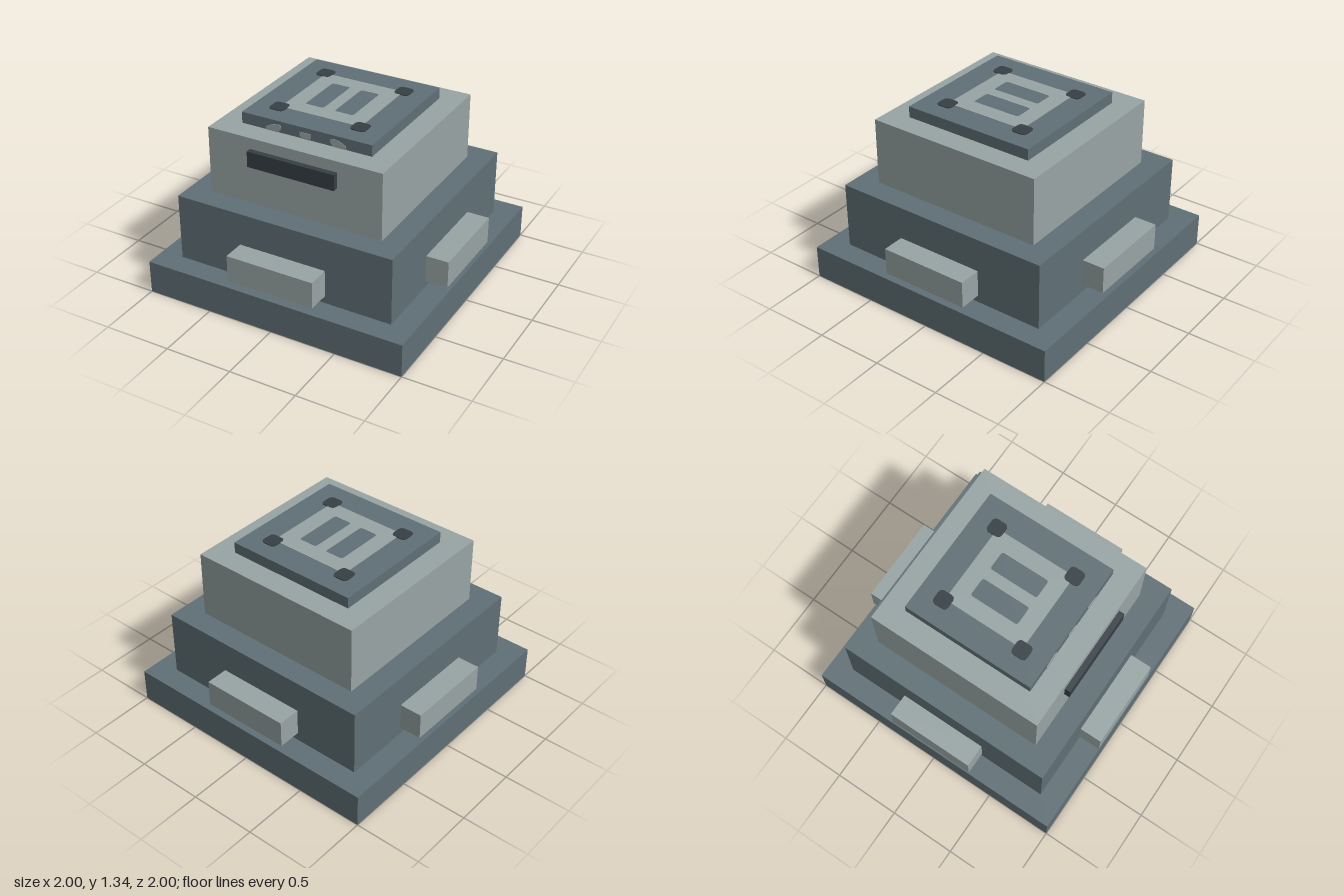
import * as THREE from 'three';

export function createModel() {
  const group = new THREE.Group();
  const material = (name, color) => {
    const m = new THREE.MeshStandardMaterial({ color });
    m.name = name;
    return m;
  };
  const slate = material('slate', 0x607076);
  const paleGrey = material('paleGrey', 0x98a4a4);
  const charcoal = material('charcoal', 0x363f45);

  const add = (name, geometry, mat, x, y, z) => {
    const mesh = new THREE.Mesh(geometry, mat);
    mesh.name = name;
    mesh.position.set(x, y, z);
    group.add(mesh);
    return mesh;
  };

  // Rectangle centred on (cx, cy) with rounded corners
  const roundedRect = (target, cx, cy, w, h, r) => {
    const l = cx - w / 2, b = cy - h / 2, R = l + w, t = b + h;
    target.moveTo(l + r, b).lineTo(R - r, b);
    target.quadraticCurveTo(R, b, R, b + r).lineTo(R, t - r);
    target.quadraticCurveTo(R, t, R - r, t).lineTo(l + r, t);
    target.quadraticCurveTo(l, t, l, t - r).lineTo(l, b + r);
    target.quadraticCurveTo(l, b, l + r, b);
    return target;
  };
  const plate = (shape, depth) =>
    new THREE.ExtrudeGeometry(shape, { depth, bevelEnabled: false, curveSegments: 4 });

  // Stepped tiers: name, width, bottom, top, colour
  const tiers = [
    ['base', 2, 0, 0.25, slate],
    ['lowerTier', 1.666, 0.25, 0.75, slate],
    ['upperTier', 1.333, 0.75, 1.25, paleGrey],
    ['cap', 1, 1.25, 1.333, slate],
  ];
  for (const [name, w, y0, y1, mat] of tiers) {
    add(name, new THREE.BoxGeometry(w, y1 - y0, w), mat, 0, (y0 + y1) / 2, 0);
  }

  // One bar on each side of the lower tier: name, turn, height, sideways shift
  const bars = [
    ['frontBar', 0, 0.407, 0, 0],
    ['leftBar', 1, 0.402, 0, 0],
    ['backBar', 2, 0.413, -0.007, 0],
    ['rightBar', 3, 0.408, 0, -0.007],
  ];
  for (const [name, turn, y, dx, dz] of bars) {
    const a = turn * Math.PI / 2;
    const bar = add(name, new THREE.BoxGeometry(0.667, 0.2, 0.167), paleGrey,
      Math.sin(a) * 0.9165 + dx, y, Math.cos(a) * 0.9165 + dz);
    bar.rotation.y = a;
  }

  // Dark panel on the front of the upper tier
  add('frontPanel', new THREE.BoxGeometry(0.667, 0.117, 0.042), charcoal, 0, 1.11, 0.6875);

  // Top pad with two slots
  const c = 0.31, k = 0.035;
  const pad = new THREE.Shape();
  pad.moveTo(-c + k, -c).lineTo(c - k, -c).lineTo(c, -c + k).lineTo(c, c - k);
  pad.lineTo(c - k, c).lineTo(-c + k, c).lineTo(-c, c - k).lineTo(-c, -c + k);
  for (const x of [-0.117, 0.113]) {
    pad.holes.push(roundedRect(new THREE.Path(), x, 0, 0.145, 0.375, 0.02));
  }
  add('topPad', plate(pad, 0.004), paleGrey, 0, 1.333, 0).rotation.x = -Math.PI / 2;

  // Dark studs at the pad corners
  const stud = plate(roundedRect(new THREE.Shape(), 0, 0, 0.115, 0.118, 0.035), 0.006);
  for (const x of [-0.317, 0.312]) {
    for (const z of [-0.317, 0.312]) {
      add('cornerStud', stud, charcoal, x, 1.333, z).rotation.x = -Math.PI / 2;
    }
  }

  // Three pale marks on the front edge of the cap, the outer two mirrored
  for (const s of [-1, 1]) {
    const mark = new THREE.Shape([
      [0.19, 0.025], [0.215, 0], [0.31, 0], [0.305, 0.025], [0.26, 0.05], [0.21, 0.058], [0.19, 0.05],
    ].map(([x, y]) => new THREE.Vector2(s * x, y)));
    add(s < 0 ? 'rightMark' : 'leftMark', plate(mark, 0.004), paleGrey, 0, 1.25, 0.5);
  }
  const middle = new THREE.Shape([
    [-0.03, 0], [0.03, 0], [0.043, 0.02], [0.043, 0.046], [-0.045, 0.046], [-0.045, 0.02],
  ].map(([x, y]) => new THREE.Vector2(x, y)));
  add('middleMark', plate(middle, 0.004), paleGrey, 0, 1.25, 0.5);

  return group;
}
